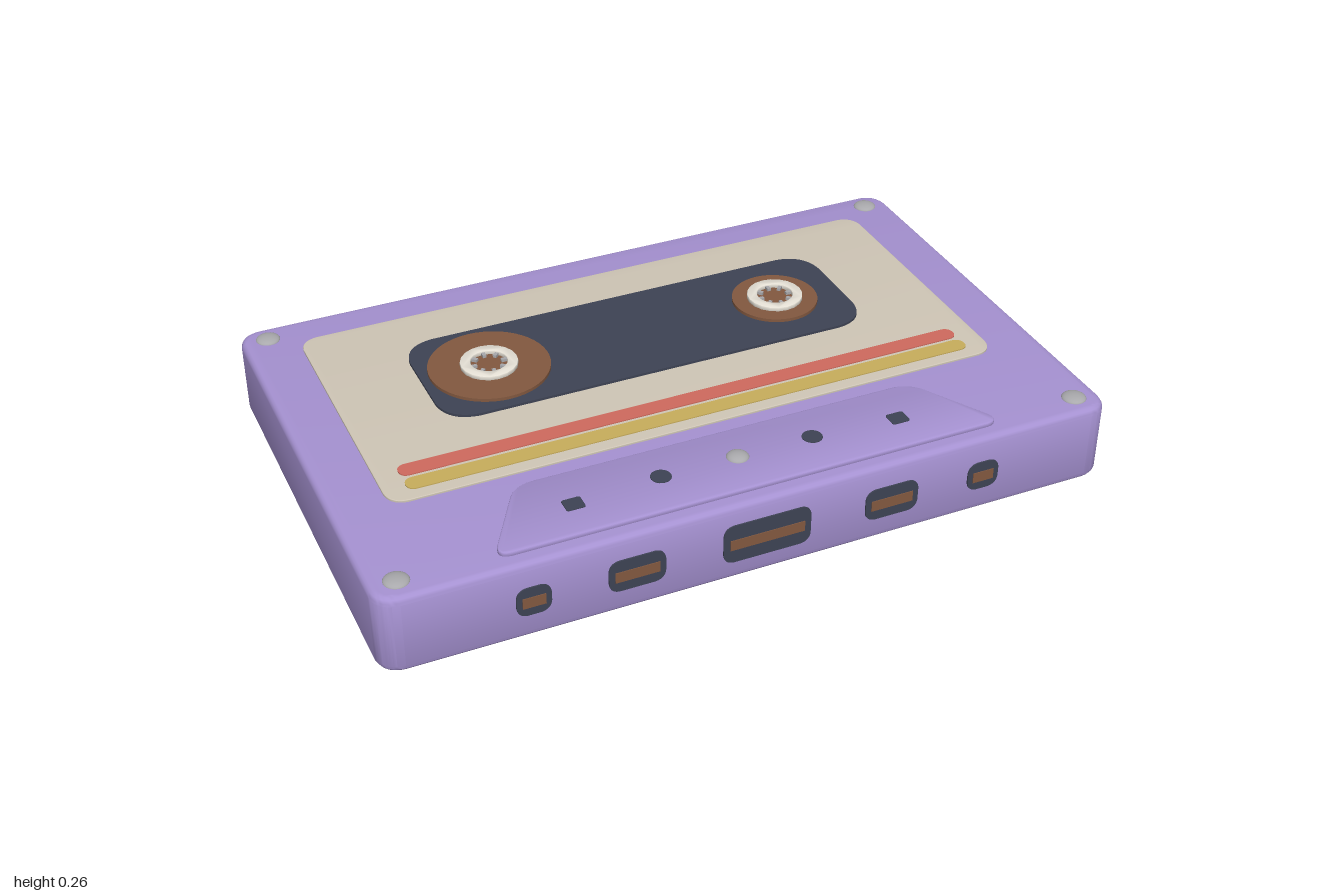
import * as THREE from 'three';
import { toCreasedNormals } from 'three/addons/utils/BufferGeometryUtils.js';

const mat = (name, color) => {
  const m = new THREE.MeshStandardMaterial({ color });
  m.name = name;
  return m;
};

// Closed polygon with every corner rounded by radius r
function roundedPoly(points, r) {
  const s = new THREE.Shape();
  const v = points.map(([x, y]) => new THREE.Vector2(x, y));
  v.forEach((p, i) => {
    const prev = v[(i + v.length - 1) % v.length], next = v[(i + 1) % v.length];
    const a = p.clone().add(prev.clone().sub(p).setLength(r));
    const b = p.clone().add(next.clone().sub(p).setLength(r));
    if (i === 0) s.moveTo(a.x, a.y); else s.lineTo(a.x, a.y);
    s.quadraticCurveTo(p.x + (a.x + b.x - 2 * p.x) * 0.09, p.y + (a.y + b.y - 2 * p.y) * 0.09, b.x, b.y);
  });
  s.closePath();
  return s;
}

const roundedRect = (w, h, r) =>
  roundedPoly([[-w / 2, -h / 2], [w / 2, -h / 2], [w / 2, h / 2], [-w / 2, h / 2]], r);

// Extruded slab of total thickness t, spanning z = 0..t, with a bevel inside the outline
function slab(shape, t, bevel = 0) {
  const g = new THREE.ExtrudeGeometry(shape, {
    depth: t - 2 * bevel, curveSegments: 10, bevelEnabled: bevel > 0,
    bevelThickness: bevel, bevelSize: bevel, bevelOffset: -bevel, bevelSegments: 4,
  });
  g.translate(0, 0, bevel);
  return toCreasedNormals(g, 0.6);
}

export function createModel() {
  const purple = mat('purple shell', 0xa692d2);
  const cream = mat('cream label', 0xcfc6b6);
  const dark = mat('dark slate', 0x3e4354);
  const brown = mat('brown tape', 0x835940);
  const white = mat('white hub', 0xe6e1d6);
  const grey = mat('grey metal', 0xa9a9ac);
  const red = mat('red stripe', 0xd06a5e);
  const yellow = mat('yellow stripe', 0xc9ae5c);

  const model = new THREE.Group();
  const add = (name, geometry, material, x, y, z, parent = model) => {
    const m = new THREE.Mesh(geometry, material);
    m.name = name;
    m.position.set(x, y, z);
    parent.add(m);
    return m;
  };
  // Horizontal plate with its underside at y
  const flat = (name, shape, t, material, x, y, z, bevel = 0, parent = model) =>
    add(name, slab(shape, t, bevel).rotateX(-Math.PI / 2), material, x, y, z, parent);

  // Shell
  const H = 0.222;
  flat('shell', roundedRect(2, 1.27, 0.06), H, purple, 0, 0, 0, 0.02);

  // Label, stripes and window
  flat('label', roundedRect(1.71, 0.81, 0.05), 0.01, cream, 0, H - 0.004, -0.115, 0.002);
  flat('redStripe', roundedRect(1.59, 0.048, 0.022), 0.005, red, 0, 0.226, 0.171);
  flat('yellowStripe', roundedRect(1.59, 0.048, 0.022), 0.005, yellow, 0, 0.226, 0.231);
  flat('window', roundedRect(1.23, 0.39, 0.09), 0.009, dark, 0, 0.226, -0.175);

  // Reels: tape pack, hub ring and inward teeth
  for (const [side, x, r] of [['right', -0.428, 0.165], ['left', 0.422, 0.12]]) {
    const reel = new THREE.Group();
    reel.name = side + 'Reel';
    reel.position.set(x, 0.232, -0.175);
    model.add(reel);
    add('tapePack', new THREE.CylinderGeometry(r, r, 0.012, 48), brown, 0, 0.006, 0, reel);
    const ring = new THREE.Shape().absarc(0, 0, 0.078, 0, Math.PI * 2);
    ring.holes.push(new THREE.Path().absarc(0, 0, 0.05, 0, Math.PI * 2, true));
    flat('hubRing', ring, 0.014, white, 0, 0.01, 0, 0.002, reel);
    for (let i = 0; i < 8; i++) {
      const a = i * Math.PI / 4;
      add('hubTooth', new THREE.BoxGeometry(0.018, 0.01, 0.01), grey,
        Math.cos(a) * 0.043, 0.015, Math.sin(a) * 0.043, reel).rotation.y = -a;
    }
  }

  // Raised trapezoid with its holes and middle screw
  const trapezoid = roundedPoly([[-0.695, -0.59], [0.695, -0.59], [0.555, -0.345], [-0.555, -0.345]], 0.045);
  flat('headPanel', trapezoid, 0.016, purple, 0, H - 0.004, 0, 0.004);
  for (const s of [-1, 1]) {
    add('roundHole', new THREE.CylinderGeometry(0.027, 0.027, 0.006, 24), dark, s * 0.21, 0.233, 0.461);
    flat('squareHole', roundedRect(0.05, 0.045, 0.006), 0.006, dark, s * 0.449, 0.23, 0.477);
  }
  const dome = (r, h) => new THREE.SphereGeometry(r, 24, 8, 0, Math.PI * 2, 0, Math.PI / 2).scale(1, h / r, 1);
  add('middleScrew', dome(0.03, 0.014), grey, 0, 0.232, 0.461);

  // Corner screws
  for (const x of [-0.927, 0.927])
    for (const z of [-0.571, 0.566]) add('cornerScrew', dome(0.033, 0.012), grey, x, H - 0.001, z);

  // Front openings with the tape showing inside: x, width, height, tape width
  const openings = [
    [0, 0.24, 0.112, 0.205], [-0.35, 0.15, 0.092, 0.118], [0.35, 0.15, 0.092, 0.118],
    [-0.617, 0.09, 0.082, 0.06], [0.617, 0.09, 0.082, 0.06],
  ];
  for (const [x, w, h, tape] of openings) {
    add('frontOpening', slab(roundedRect(w, h, 0.028), 0.008), dark, x, 0.112, 0.631);
    add('frontTape', new THREE.BoxGeometry(tape, 0.03, 0.004), brown, x, 0.11, 0.639);
  }

  // Back notches
  for (const x of [-0.8, 0.8])
    add('backNotch', slab(roundedRect(0.12, 0.066, 0.016), 0.008), dark, x, 0.112, -0.639);

  return model;
}
